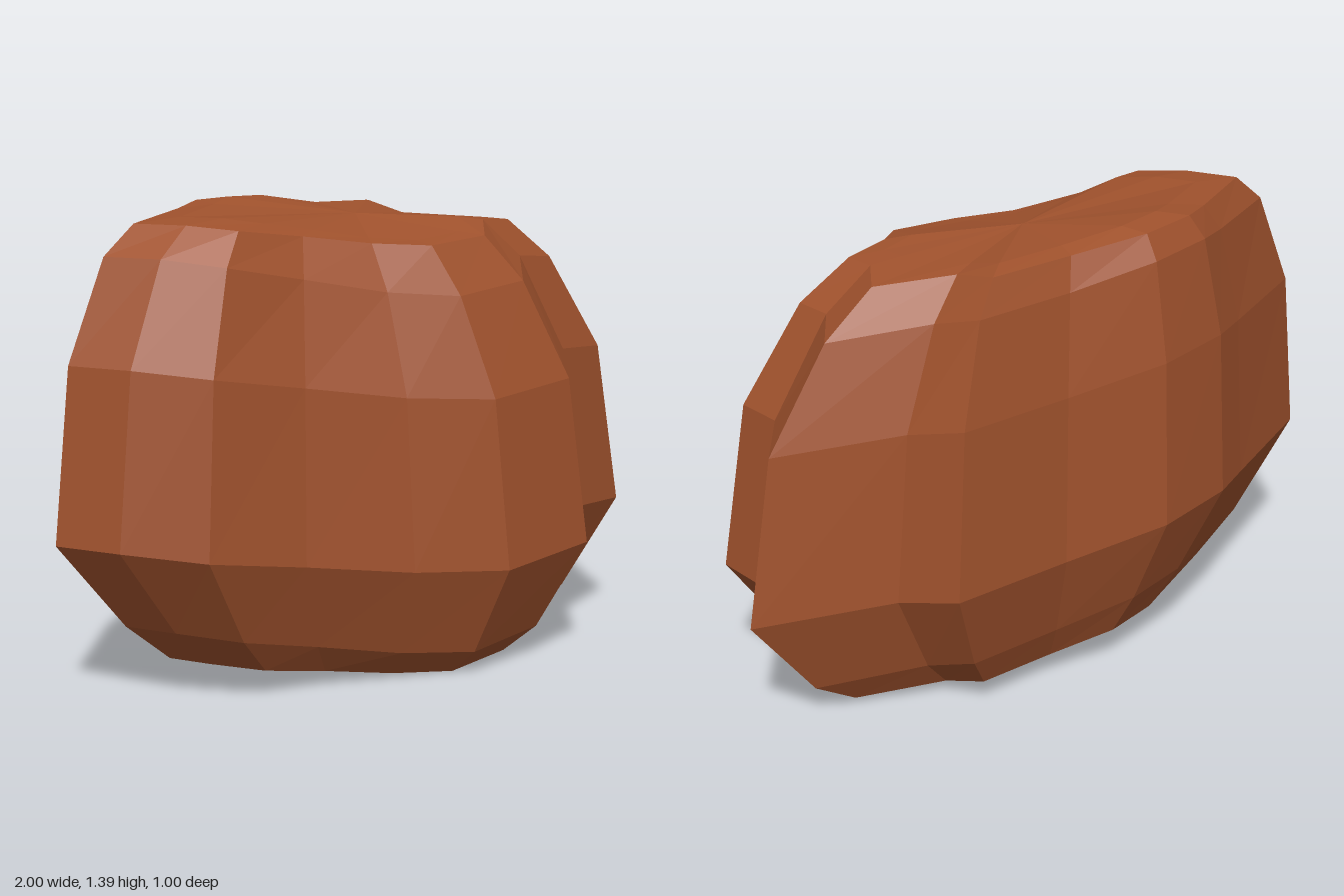
import * as THREE from 'three';

// One rib per row: widest point x, z, its height, then the shoulder point x, z
const RIBS = [
  [-1.0, -0.05, 0.49, -0.72, -0.07],
  [-0.9, 0.13, 0.49, -0.63, 0.06],
  [-0.72, 0.3, 0.47, -0.53, 0.17],
  [-0.42, 0.33, 0.42, -0.31, 0.16],
  [-0.1, 0.41, 0.37, -0.1, 0.2],
  [0.18, 0.495, 0.35, 0.07, 0.26],
  [0.53, 0.44, 0.37, 0.29, 0.23],
  [0.68, 0.24, 0.42, 0.39, 0.1],
  [0.91, 0.16, 0.4, 0.53, 0.05],
  [0.88, 0.0, 0.4, 0.51, -0.04],
  [0.995, -0.19, 0.38, 0.57, -0.16],
  [0.6, -0.32, 0.41, 0.35, -0.24],
  [0.5, -0.49, 0.46, 0.32, -0.38],
  [0.13, -0.46, 0.47, 0.06, -0.36],
  [-0.19, -0.5, 0.52, -0.17, -0.39],
  [-0.45, -0.42, 0.53, -0.35, -0.34],
  [-0.6, -0.31, 0.51, -0.46, -0.26],
];
const AXIS = [0.03, -0.06];
const mix = THREE.MathUtils.lerp;

// Points of one rib from the underside to the crown
function ribPoints([x, z, y, sx, sz]) {
  const below = (f, h) => [mix(AXIS[0], x, f), h, mix(AXIS[1], z, f)];
  const above = (t, h) => [mix(x, sx, t), h, mix(z, sz, t)];
  const top = 1.07 + 0.6 * y;
  return [
    below(0.65, 0.67 * y - 0.23),
    below(0.79, y - 0.27),
    [x, y, z],
    above(0.2, y + 0.5),
    above(0.64, y + 0.79),
    above(1, top),
    [mix(AXIS[0], sx, 0.8), top + 0.01, mix(AXIS[1], sz, 0.8)],
  ];
}

function boulderGeometry() {
  const ribs = RIBS.map(ribPoints);
  const n = ribs.length, rings = ribs[0].length;
  const positions = ribs.flat(2);
  const bottom = n * rings, top = bottom + 1;
  positions.push(AXIS[0], 0.05, AXIS[1], AXIS[0], 1.35, AXIS[1]);

  const index = [];
  for (let i = 0; i < n; i++) {
    const a = i * rings, b = ((i + 1) % n) * rings;
    for (let k = 0; k < rings - 1; k++) {
      index.push(a + k, b + k, b + k + 1, a + k, b + k + 1, a + k + 1);
    }
    // Fans closing the underside and the crown
    index.push(bottom, b, a, top, a + rings - 1, b + rings - 1);
  }
  const geometry = new THREE.BufferGeometry();
  geometry.setAttribute('position', new THREE.Float32BufferAttribute(positions, 3));
  geometry.setIndex(index);
  geometry.computeVertexNormals();
  return geometry;
}

export function createModel() {
  const rust = new THREE.MeshStandardMaterial({ color: 0xa0522d });
  rust.name = 'rust brown';
  rust.flatShading = true;

  const boulder = new THREE.Mesh(boulderGeometry(), rust);
  boulder.name = 'boulder';

  const group = new THREE.Group();
  group.name = 'rock';
  group.add(boulder);
  return group;
}
